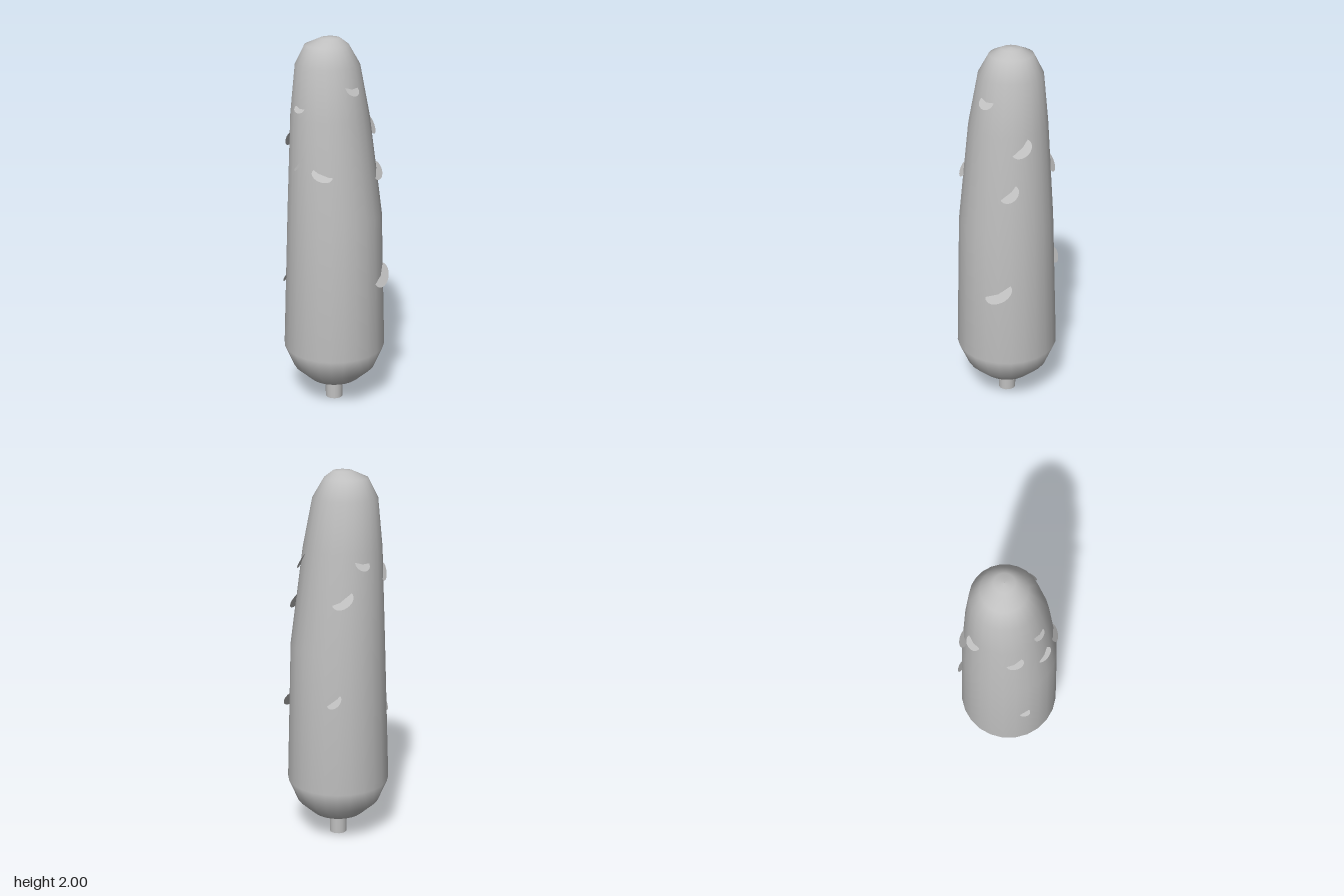
import * as THREE from 'three';

// Body rings: [height, radius, centre x, centre z]
const RINGS = [
  [0.09, 0.001, -0.014, 0], [0.095, 0.06, -0.014, 0], [0.13, 0.14, -0.013, 0],
  [0.205, 0.222, -0.013, 0], [0.325, 0.273, -0.013, 0.001], [1.08, 0.249, -0.01, 0.004],
  [1.6, 0.205, -0.037, -0.002], [1.86, 0.167, -0.053, -0.012], [1.96, 0.113, -0.058, -0.014],
  [1.995, 0.05, -0.04, -0.015], [2, 0.001, -0.04, -0.015],
];

// Flakes: [x, y, z, half width, reach, roll in degrees]
const FLAKES = [
  [-0.14, 1.66, 0.16, 0.036, 0.026, -5],
  [0.14, 1.76, 0.10, 0.042, 0.04, -5],
  [-0.14, 1.38, 0.20, 0.05, 0.03, 45],
  [0.0, 1.34, 0.23, 0.055, 0.036, -18],
  [0.17, 1.54, -0.11, 0.058, 0.045, 38],
  [0.215, 1.31, -0.05, 0.055, 0.045, 38],
  [0.25, 0.75, 0.0, 0.08, 0.05, 30],
  [-0.235, 1.47, 0.06, 0.055, 0.03, 45],
  [-0.25, 0.72, 0.12, 0.035, 0.025, 45],
  [-0.185, 1.55, -0.155, 0.042, 0.04, -8],
  [-0.10, 1.37, -0.225, 0.06, 0.045, 33],
  [-0.06, 0.84, -0.25, 0.045, 0.035, 40],
];

// Interpolated ring at a given height
function ringAt(y) {
  let i = 0;
  while (i < RINGS.length - 2 && RINGS[i + 1][0] < y) i++;
  const a = RINGS[i], b = RINGS[i + 1];
  const t = (y - a[0]) / (b[0] - a[0]);
  return a.map((v, k) => v + (b[k] - v) * t);
}

export function createModel() {
  const group = new THREE.Group();
  const grey = new THREE.MeshStandardMaterial({ color: 0xc0c0c0 });
  grey.name = 'plain grey';
  grey.side = THREE.DoubleSide;

  // Leaning, tapered body with rounded ends
  const bodyGeo = new THREE.LatheGeometry(RINGS.map(([y, r]) => new THREE.Vector2(r, y)), 24);
  const pos = bodyGeo.attributes.position;
  for (let i = 0; i < pos.count; i++) {
    const ring = RINGS[i % RINGS.length];
    pos.setX(i, pos.getX(i) + ring[2]);
    pos.setZ(i, pos.getZ(i) + ring[3]);
  }
  const body = new THREE.Mesh(bodyGeo, grey);
  body.name = 'body';
  group.add(body);

  // Short stem under the body
  const stem = new THREE.Mesh(new THREE.CylinderGeometry(0.047, 0.047, 0.12, 16), grey);
  stem.name = 'stem';
  stem.position.set(-0.014, 0.06, 0);
  group.add(stem);

  // Thin drooping flakes half sunk in the surface
  const flakes = new THREE.Group();
  flakes.name = 'flakes';
  const disc = new THREE.CircleGeometry(1, 24);
  for (const [x, y, z, width, reach, roll] of FLAKES) {
    const [, r, cx, cz] = ringAt(y);
    const out = new THREE.Vector3(x - cx, 0, z - cz).normalize();
    const side = new THREE.Vector3(0, 1, 0).cross(out).applyAxisAngle(out, THREE.MathUtils.degToRad(roll));
    const up = out.clone().cross(side);
    const droop = out.clone().multiplyScalar(0.65).addScaledVector(up, -0.76).normalize();
    const flake = new THREE.Mesh(disc, grey);
    flake.name = 'flake';
    flake.quaternion.setFromRotationMatrix(
      new THREE.Matrix4().makeBasis(side, droop, side.clone().cross(droop)));
    flake.position.set(cx + out.x * r, y, cz + out.z * r);
    flake.scale.set(width, reach, 1);
    flakes.add(flake);
  }
  group.add(flakes);
  return group;
}
